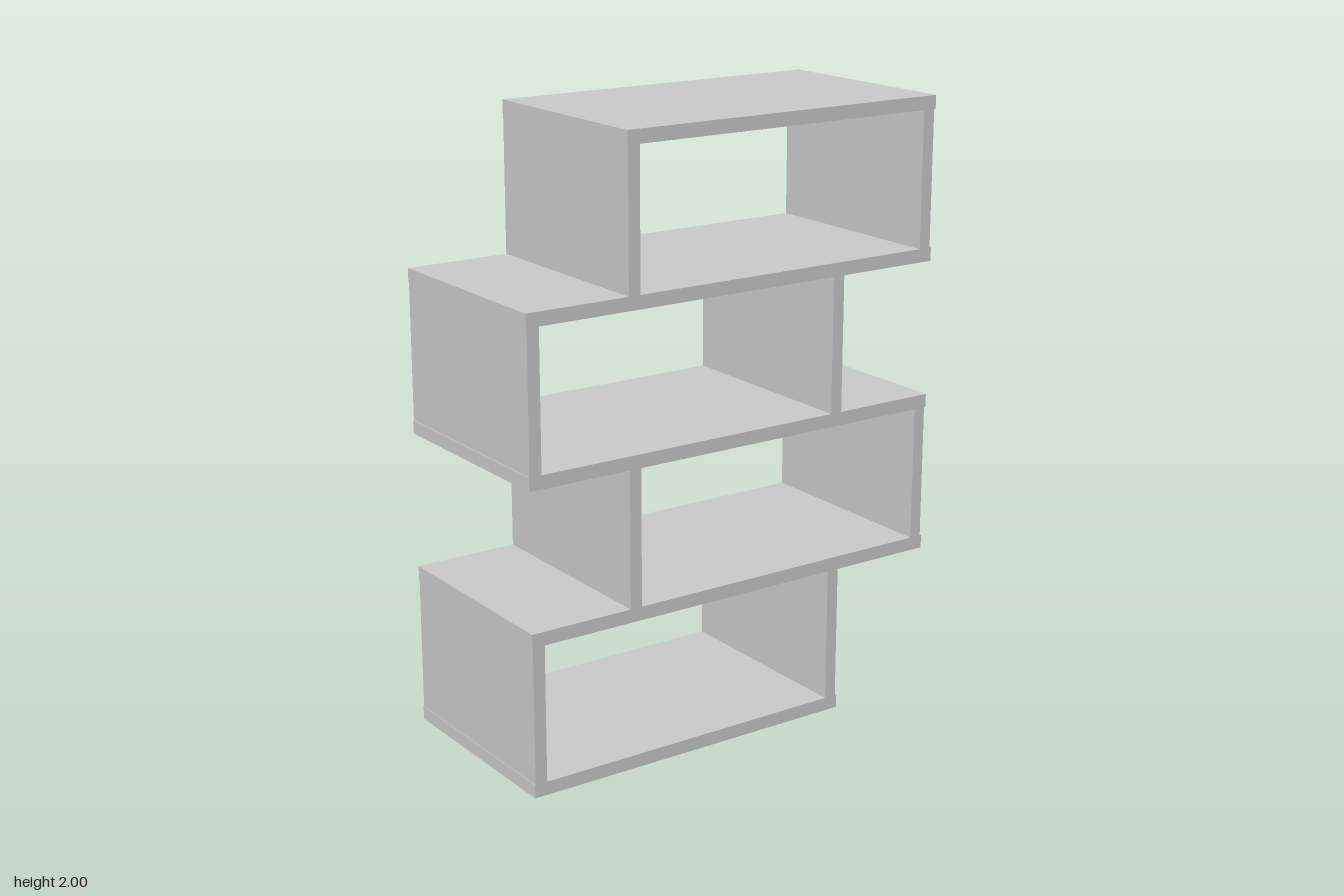
import * as THREE from 'three';

export function createModel() {
  const group = new THREE.Group();
  group.name = 'staggeredShelf';
  const material = new THREE.MeshStandardMaterial({ color: 0xcccccc, flatShading: true });

  const depth = 0.698;      // front to back
  const thickness = 0.044;  // shelf boards
  const pitch = 0.489;      // height from one shelf to the next
  const tiers = 4;
  const edge = 0.757;       // outer end of the long shelves
  const inner = 0.408;      // inner end of the short shelves

  // Box given by its x and y limits, full depth
  const addBoard = (name, x0, x1, y0, y1) => {
    const mesh = new THREE.Mesh(new THREE.BoxGeometry(x1 - x0, y1 - y0, depth), material);
    mesh.position.set((x0 + x1) / 2, (y0 + y1) / 2, 0);
    mesh.name = name;
    group.add(mesh);
  };

  // Horizontal shelves: short at the bottom and top, long between
  for (let i = 0; i <= tiers; i++) {
    const x0 = i === tiers ? -inner : -edge;
    const x1 = i === 0 ? inner : edge;
    addBoard(`shelf${i + 1}`, x0, x1, i * pitch, i * pitch + thickness);
  }

  // Upright panels: each tier shifts to the opposite side
  for (let i = 0; i < tiers; i++) {
    const shift = i % 2 ? 0.349 : 0;
    const y0 = i * pitch + thickness;
    const y1 = (i + 1) * pitch;
    addBoard(`rightPanel${i + 1}`, -0.755 + shift, -0.714 + shift, y0, y1);
    addBoard(`leftPanel${i + 1}`, 0.361 + shift, 0.402 + shift, y0, y1);
  }

  return group;
}
